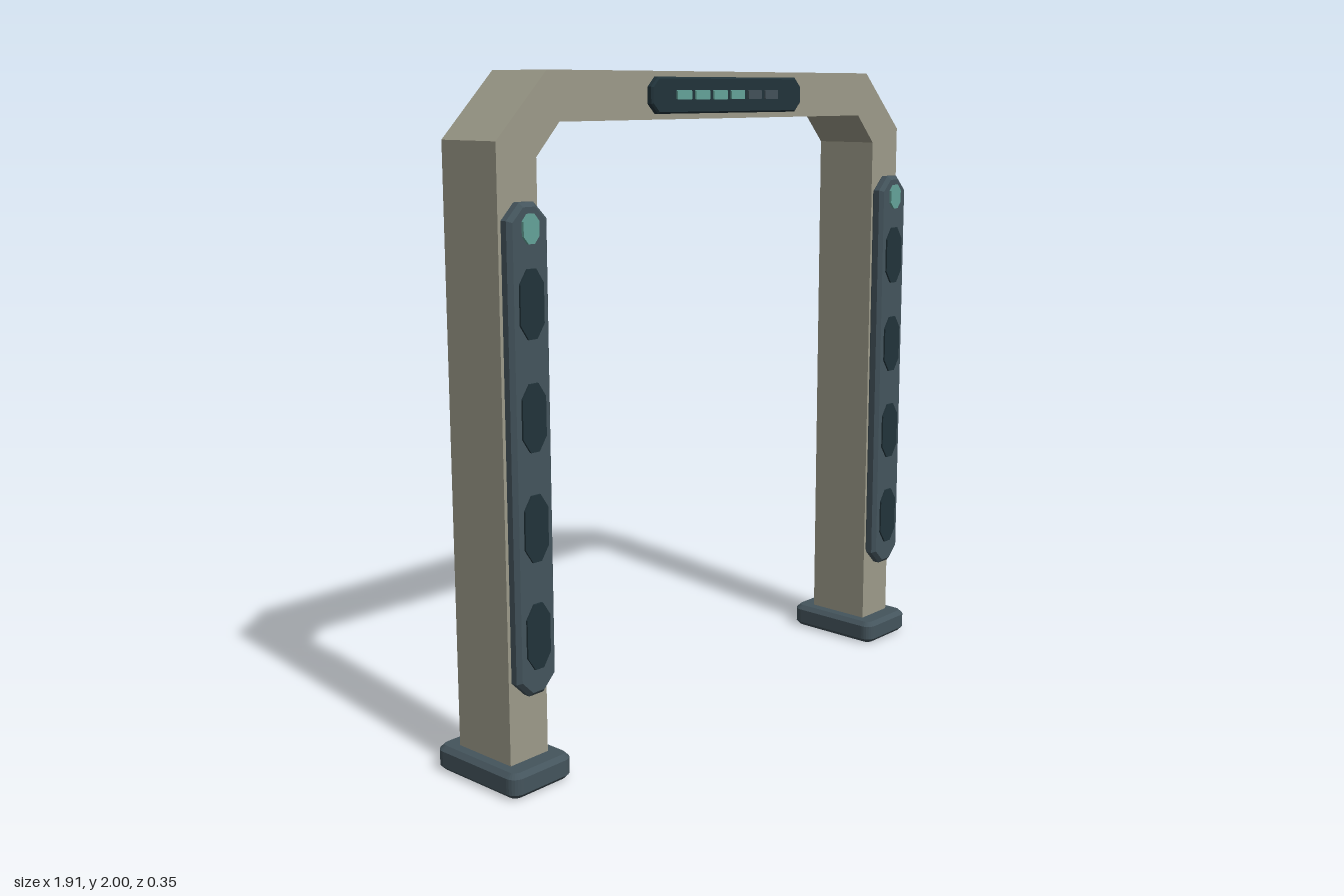
import * as THREE from 'three';

const mat = (name, color) => {
  const m = new THREE.MeshStandardMaterial({ color });
  m.name = name;
  return m;
};

// Polygon from a list of [x, y] points
const polygon = (pts) => new THREE.Shape(pts.map(([x, y]) => new THREE.Vector2(x, y)));

// Rectangle with cut corners, centred on the origin
function cutRect(w, h, cx, cy = cx) {
  const a = w / 2, b = h / 2;
  return polygon([
    [-a + cx, -b], [a - cx, -b], [a, -b + cy], [a, b - cy],
    [a - cx, b], [-a + cx, b], [-a, b - cy], [-a, -b + cy],
  ]);
}

// Rectangle with rounded corners, centred on the origin
function roundRect(w, h, r) {
  const a = w / 2 - r, b = h / 2 - r, s = new THREE.Shape();
  s.absarc(a, b, r, 0, Math.PI / 2);
  s.absarc(-a, b, r, Math.PI / 2, Math.PI);
  s.absarc(-a, -b, r, Math.PI, Math.PI * 1.5);
  s.absarc(a, -b, r, Math.PI * 1.5, Math.PI * 2);
  s.closePath();
  return s;
}

// Slab of total thickness d from z = 0, bevelled inside its outline
function slab(shape, d, bevel = 0) {
  const g = new THREE.ExtrudeGeometry(shape, {
    depth: d - 2 * bevel, bevelEnabled: bevel > 0, bevelThickness: bevel,
    bevelSize: bevel, bevelOffset: -bevel, bevelSegments: 1, curveSegments: 3,
  });
  return g.translate(0, 0, bevel);
}

export function createModel() {
  const frameMat = mat('warm grey frame', 0x9c9a89);
  const panelMat = mat('slate panel', 0x44545c);
  const darkMat = mat('dark glass', 0x21333a);
  const litMat = mat('teal light', 0x64a399);
  const dimMat = mat('unlit segment', 0x435159);

  const model = new THREE.Group();
  model.name = 'scannerGate';
  const add = (parent, name, geometry, material, x, y, z) => {
    const m = new THREE.Mesh(geometry, material);
    m.name = name;
    m.position.set(x, y, z);
    parent.add(m);
    return m;
  };

  // Arch with cut corners
  const arch = polygon([
    [-0.914, 0], [-0.772, 0], [-0.772, 1.77], [-0.685, 1.862],
    [0.685, 1.862], [0.772, 1.77], [0.772, 0.01], [0.914, 0.01],
    [0.914, 1.815], [0.728, 2], [-0.728, 2], [-0.914, 1.815],
  ]);
  add(model, 'arch', slab(arch, 0.22), frameMat, 0, 0, -0.11);

  // Feet and sensor panels on both posts
  const footGeo = slab(roundRect(0.23, 0.346, 0.035), 0.075, 0.014).rotateX(-Math.PI / 2);
  const panelGeo = slab(cutRect(0.144, 1.375, 0.046), 0.045, 0.012);
  const cellGeo = slab(cutRect(0.085, 0.19, 0.027, 0.04), 0.009);
  const lampGeo = slab(cutRect(0.056, 0.08, 0.017, 0.02), 0.009);
  for (const [side, s] of [['left', 1], ['right', -1]]) {
    const x = s * 0.842;
    add(model, side + 'Foot', footGeo, panelMat, x, 0.002, 0);
    const panel = new THREE.Group();
    panel.name = side + 'SensorPanel';
    model.add(panel);
    add(panel, 'panelBody', panelGeo, panelMat, x, 0.968, 0.11);
    for (let i = 0; i < 4; i++) {
      add(panel, 'sensorWindow' + (i + 1), cellGeo, darkMat, x, 0.455 + i * 0.31, 0.152);
    }
    add(panel, 'statusLamp', lampGeo, litMat, x, 1.586, 0.154);
  }

  // Display bar with four lit and two unlit segments
  const display = new THREE.Group();
  display.name = 'display';
  model.add(display);
  add(display, 'displayBody', slab(cutRect(0.686, 0.105, 0.028), 0.024, 0.005), darkMat, 0, 1.931, 0.11);
  const segmentGeo = slab(cutRect(0.062, 0.027, 0.002), 0.007);
  for (let i = 0; i < 6; i++) {
    add(display, 'segment' + (i + 1), segmentGeo, i < 4 ? litMat : dimMat, -0.21 + i * 0.08, 1.932, 0.132);
  }
  return model;
}
